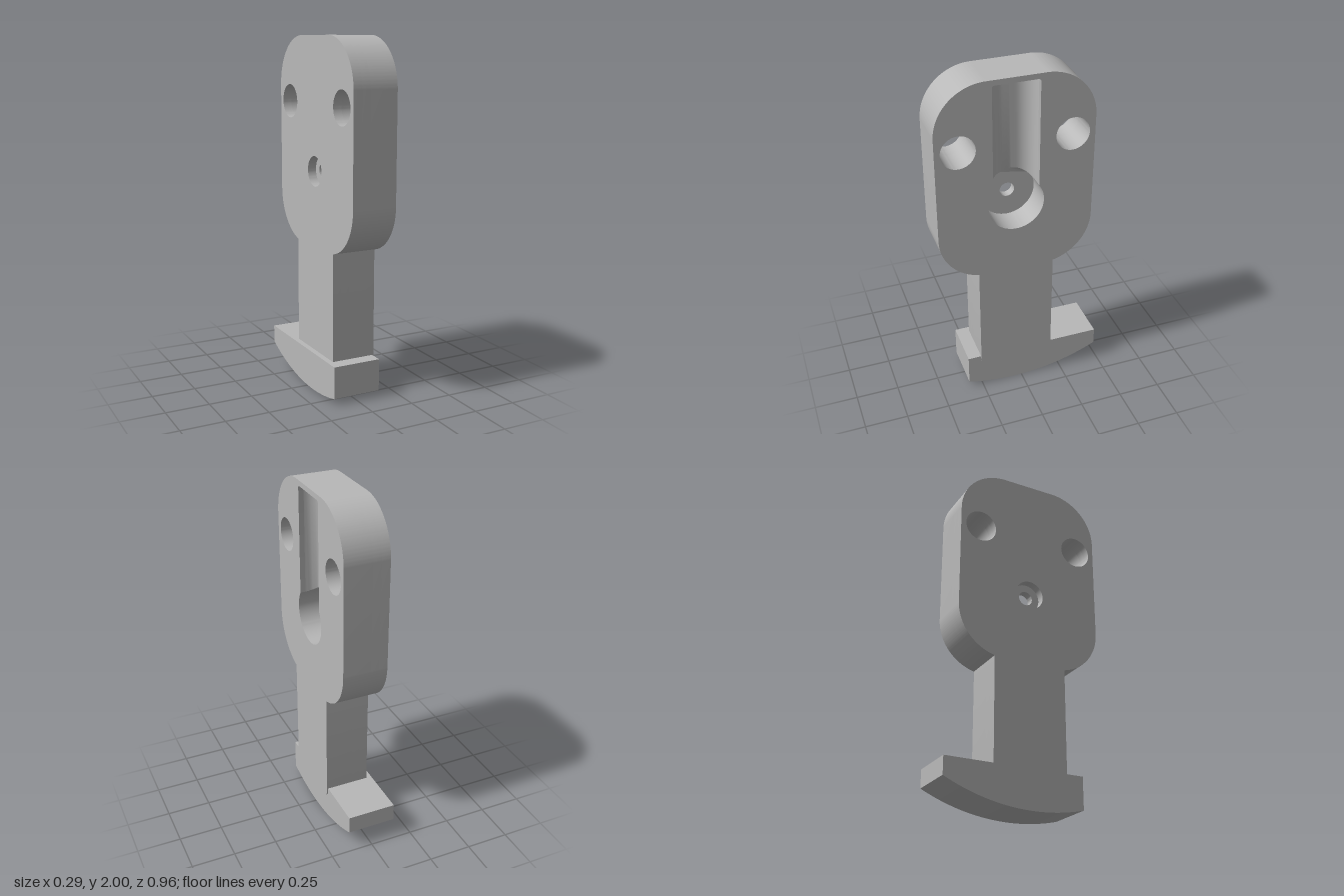
import * as THREE from 'three';
import { toCreasedNormals } from 'three/addons/utils/BufferGeometryUtils.js';

// Profiles are drawn in (u, y) with u = -z, extruded along x.
const UC = -0.037;                 // centre line of the plate
const BACK = -0.115, FRONT = 0.143; // plate faces
const BORE_Y = 1.26, POCKET_R = 0.158, SLOT_HALF = 0.13, SLOT_TOP = 1.97;
const POCKET_FLOOR = -0.017, BORE_FLOOR = -0.065;

function circlePath(u, y, r) {
  return new THREE.Path().absarc(u, y, r, 0, Math.PI * 2, true);
}

// Round-cornered head with a straight neck below
function bodyShape() {
  const s = new THREE.Shape();
  const r = 0.28, c = 0.1615, neck = 0.22, foot = 0.155, f = 0.05;
  const low = 1.11, high = 2 - r, a = Math.acos((neck - c) / r);
  s.moveTo(UC - neck + f, foot);
  s.lineTo(UC + neck - f, foot);
  s.absarc(UC + neck - f, foot + f, f, -Math.PI / 2, 0, false);
  s.absarc(UC + c, low, r, -a, 0, false);
  s.absarc(UC + c, high, r, 0, Math.PI / 2, false);
  s.absarc(UC - c, high, r, Math.PI / 2, Math.PI, false);
  s.absarc(UC - c, low, r, Math.PI, Math.PI + a, false);
  s.absarc(UC - neck + f, foot + f, f, Math.PI, Math.PI * 1.5, false);
  for (const side of [-1, 1]) s.holes.push(circlePath(UC + side * 0.315, 1.63, 0.095));
  return s;
}

// Round pocket joined to the slot above it
function keyholePath() {
  const p = new THREE.Path();
  const a = Math.acos(SLOT_HALF / POCKET_R), e = 0.015;
  p.absarc(UC, BORE_Y, POCKET_R, a, Math.PI - a, true);
  p.lineTo(UC - SLOT_HALF, SLOT_TOP - e);
  p.quadraticCurveTo(UC - SLOT_HALF, SLOT_TOP, UC - SLOT_HALF + e, SLOT_TOP);
  p.lineTo(UC + SLOT_HALF - e, SLOT_TOP);
  p.quadraticCurveTo(UC + SLOT_HALF, SLOT_TOP, UC + SLOT_HALF, SLOT_TOP - e);
  p.closePath();
  return p;
}

function extrude(shape, from, to) {
  const g = new THREE.ExtrudeGeometry(shape, { depth: to - from, bevelEnabled: false, curveSegments: 32 });
  g.translate(0, 0, from);
  return g;
}

// Trough floor: rounded cross-section, lower end cut to the pocket's circle
function troughGeometry() {
  const fillet = 0.09, floor = 0.023, n = 32;
  const pts = [];
  for (let i = 0; i <= n; i++) {
    const u = -SLOT_HALF * Math.cos((Math.PI * i) / n);
    const k = Math.max(0, Math.abs(u) - (SLOT_HALF - fillet));
    const d = floor + fillet - Math.sqrt(Math.max(0, fillet * fillet - k * k));
    pts.push(new THREE.Vector2(u, -d));
  }
  for (let i = n; i >= 0; i--) {
    pts.push(new THREE.Vector2(-SLOT_HALF * Math.cos((Math.PI * i) / n), -POCKET_FLOOR));
  }
  const g = extrude(new THREE.Shape(pts), BORE_Y, SLOT_TOP);
  g.rotateX(-Math.PI / 2);
  const p = g.attributes.position;
  for (let i = 0; i < p.count; i++) {
    if (p.getY(i) < BORE_Y + 0.01) {
      p.setY(i, BORE_Y + Math.sqrt(POCKET_R ** 2 - p.getX(i) ** 2));
    }
  }
  g.translate(UC, 0, 0);
  return g;
}

// Foot with a flat top and a curved sole
function footShape() {
  const s = new THREE.Shape();
  const R = 1.17, left = -0.335, right = 0.478, top = 0.222;
  const angle = (u) => Math.asin((u - UC) / R) - Math.PI / 2;
  s.moveTo(right, top);
  s.lineTo(left, top);
  s.absarc(UC, R, R, angle(left), angle(right), false);
  s.closePath();
  return s;
}

export function createModel() {
  const group = new THREE.Group();
  const grey = new THREE.MeshStandardMaterial({ color: 0xb8b8b8 });
  grey.name = 'grey';

  function add(name, geometry) {
    geometry.rotateY(Math.PI / 2);
    const mesh = new THREE.Mesh(toCreasedNormals(geometry, 0.5), grey);
    mesh.name = name;
    group.add(mesh);
  }

  // Plate in three layers: counterbore, through hole, keyhole recess
  const layers = [
    ['counterboreLayer', circlePath(UC, BORE_Y, 0.085), BACK, BORE_FLOOR],
    ['throughHoleLayer', circlePath(UC, BORE_Y, 0.042), BORE_FLOOR, POCKET_FLOOR],
    ['recessLayer', keyholePath(), POCKET_FLOOR, FRONT],
  ];
  for (const [name, hole, from, to] of layers) {
    const shape = bodyShape();
    shape.holes.push(hole);
    add(name, extrude(shape, from, to));
  }

  add('troughFloor', troughGeometry());
  add('foot', extrude(footShape(), -0.147, 0.135));
  return group;
}
